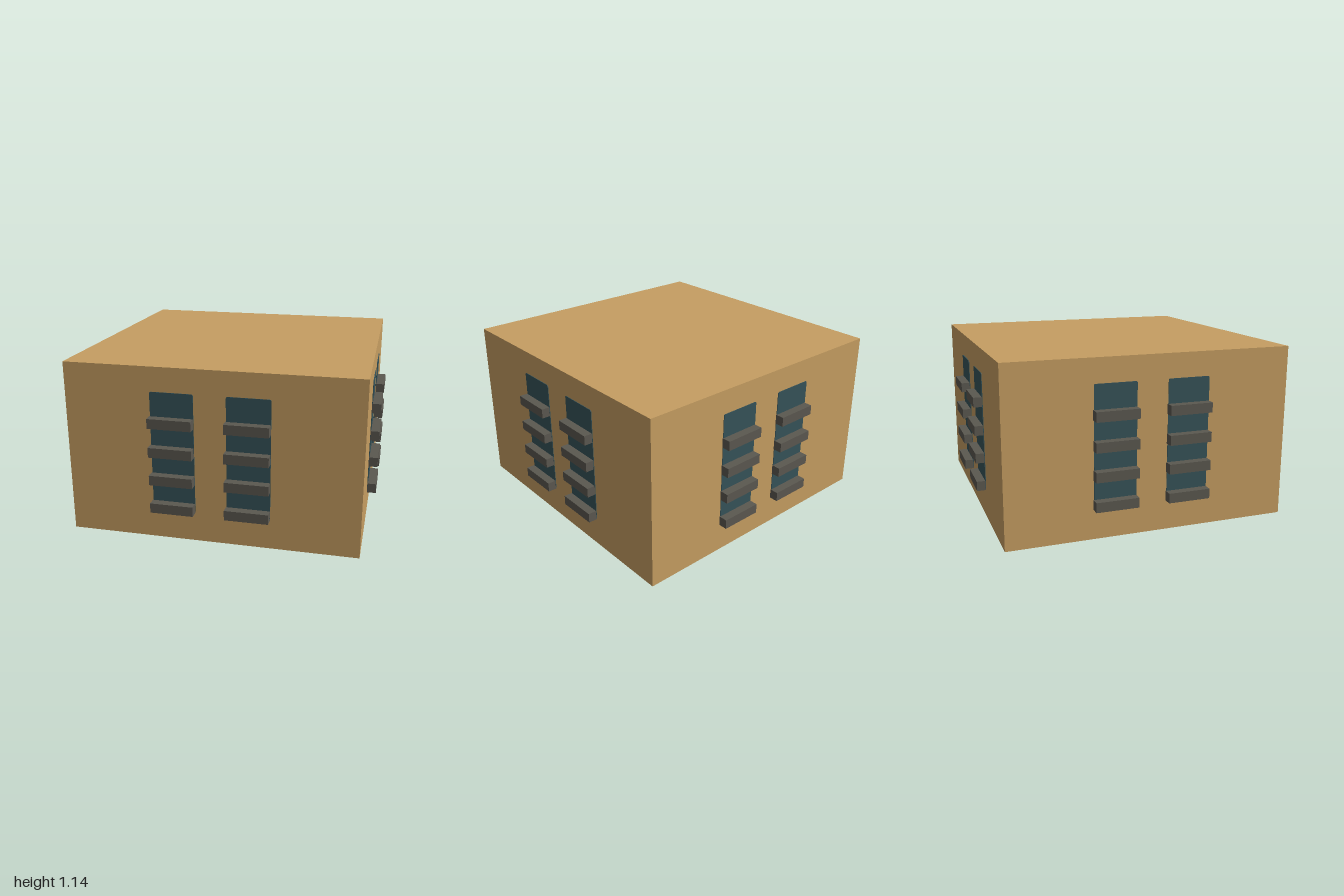
import * as THREE from 'three';

const HALF = 0.94;     // half width of the shell
const HEIGHT = 1.138;

// Upright panel with slightly rounded corners, centred on its thickness
function panelGeometry(w, h, r, t) {
  const x = w / 2, y = h / 2;
  const s = new THREE.Shape();
  s.moveTo(-x + r, -y);
  s.lineTo(x - r, -y);
  s.quadraticCurveTo(x, -y, x, -y + r);
  s.lineTo(x, y - r);
  s.quadraticCurveTo(x, y, x - r, y);
  s.lineTo(-x + r, y);
  s.quadraticCurveTo(-x, y, -x, y - r);
  s.lineTo(-x, -y + r);
  s.quadraticCurveTo(-x, -y, -x + r, -y);
  return new THREE.ExtrudeGeometry(s, { depth: t, bevelEnabled: false, curveSegments: 4 })
    .translate(0, 0, -t / 2);
}

export function createModel() {
  const tan = new THREE.MeshStandardMaterial({ color: 0xc69e62, side: THREE.DoubleSide });
  tan.name = 'tan wall';
  const teal = new THREE.MeshStandardMaterial({ color: 0x365359 });
  teal.name = 'dark teal window';
  const grey = new THREE.MeshStandardMaterial({ color: 0x5b5850 });
  grey.name = 'warm grey bar';

  const model = new THREE.Group();
  model.name = 'building';

  const add = (parent, name, geometry, material, x, y, z) => {
    const mesh = new THREE.Mesh(geometry, material);
    mesh.name = name;
    mesh.position.set(x, y, z);
    parent.add(mesh);
    return mesh;
  };

  const wallGeo = new THREE.PlaneGeometry(HALF * 2, HEIGHT);
  const windowGeo = panelGeometry(0.277, 0.78, 0.012, 0.008);
  const barGeo = new THREE.BoxGeometry(0.28, 0.064, 0.059);

  // Thin shell, open underneath
  const roof = add(model, 'roof', new THREE.PlaneGeometry(HALF * 2, HALF * 2), tan, 0, HEIGHT, 0);
  roof.rotation.x = -Math.PI / 2;

  // Four equal sides, each with two windows crossed by four bars
  ['front', 'left', 'back', 'right'].forEach((label, i) => {
    const side = new THREE.Group();
    side.name = label + 'Side';
    side.rotation.y = i * Math.PI / 2;
    add(side, 'wall', wallGeo, tan, 0, HEIGHT / 2, HALF);
    for (const x of [-0.241, 0.241]) {
      add(side, 'window', windowGeo, teal, x, 0.59, HALF);
      for (const y of [0.226, 0.416, 0.602, 0.791]) {
        add(side, 'windowBar', barGeo, grey, x - 0.003, y, 0.9705);
      }
    }
    model.add(side);
  });

  return model;
}
